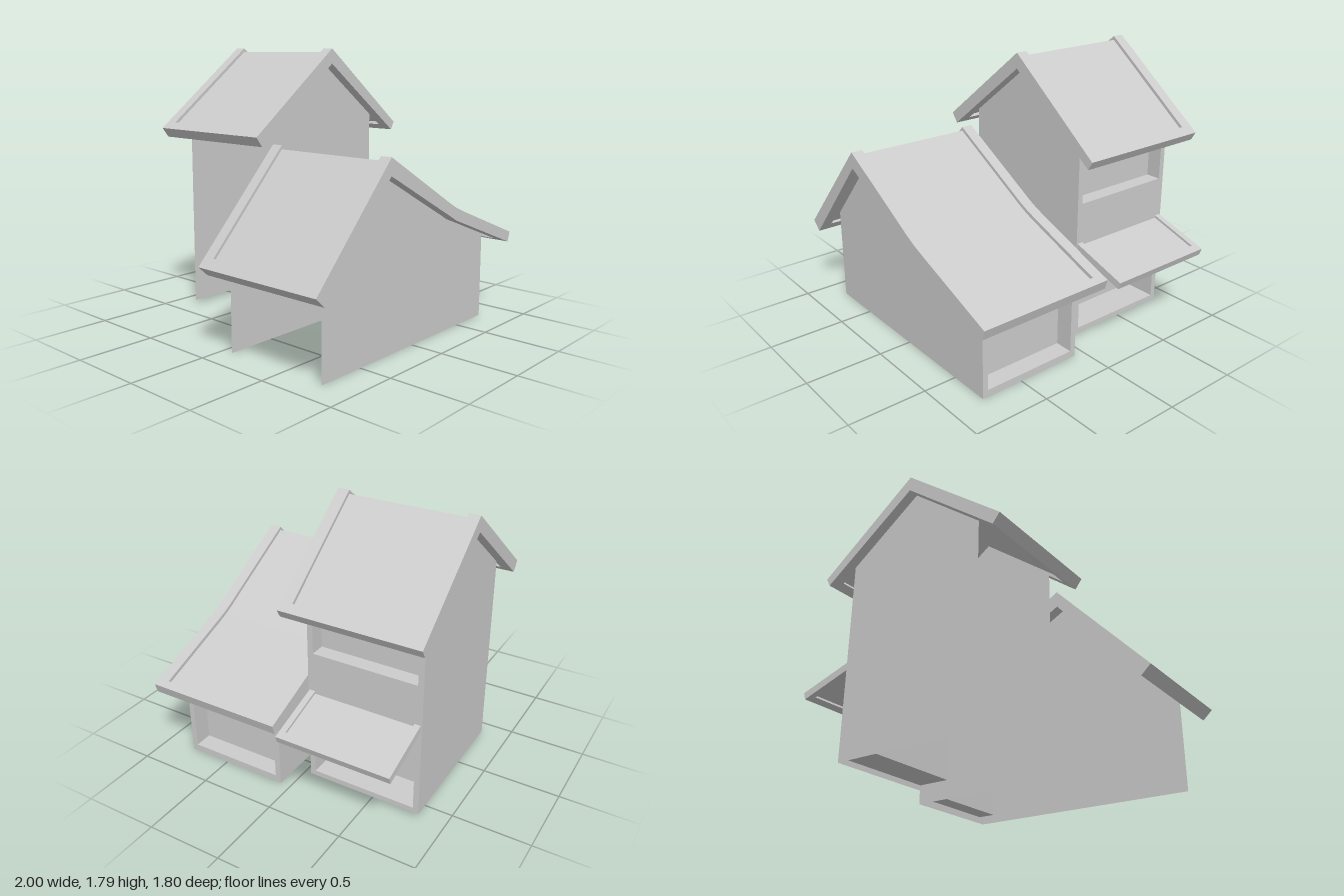
import * as THREE from 'three';

const mat = new THREE.MeshStandardMaterial({ color: 0xcccccc, side: THREE.DoubleSide });

function add(parent, name, geometry) {
  const mesh = new THREE.Mesh(geometry, mat);
  mesh.name = name;
  parent.add(mesh);
  return mesh;
}

const shapeOf = (pts) => new THREE.Shape(pts.map(([x, y]) => new THREE.Vector2(x, y)));
const mix = (a, b, t) => [a[0] + (b[0] - a[0]) * t, a[1] + (b[1] - a[1]) * t];

// Extrude a profile, given by matching top and bottom lines, between two depths
function strip(parent, name, top, bottom, z0, z1) {
  const geometry = new THREE.ExtrudeGeometry(shapeOf([...top, ...[...bottom].reverse()]), {
    depth: z1 - z0, bevelEnabled: false,
  });
  add(parent, name, geometry.translate(0, 0, z0));
}

// Roof slab: thick rim at the ends and eaves around a thinner panel
function roof(name, { top, bottom, z0, z1, rim, inset, eaves }) {
  const g = new THREE.Group();
  g.name = name;
  const n = top.length - 1;
  strip(g, 'backVerge', top, bottom, z0, z0 + rim);
  strip(g, 'frontVerge', top, bottom, z1 - rim, z1);
  for (const [end, next] of eaves === 2 ? [[0, 1], [n, n - 1]] : [[n, n - 1]]) {
    const t = 0.05 / Math.abs(top[end][0] - top[next][0]);
    strip(g, 'eave', [top[end], mix(top[end], top[next], t)],
      [bottom[end], mix(bottom[end], bottom[next], t)], z0 + rim, z1 - rim);
  }
  const shorten = (line, dy) => line.map((p, i) => {
    const q = i === 0 ? mix(p, line[1], 0.03) : i === n ? mix(p, line[n - 1], 0.03) : p;
    return [q[0], q[1] + dy];
  });
  strip(g, 'roofPanel', shorten(top, -inset), shorten(bottom, inset), z0 + rim, z1 - rim);
  return g;
}

// Two thin gable walls joined by an end wall with recessed windows
function house(name, { profile, z0, z1, x, y0, y1, windows }) {
  const g = new THREE.Group();
  g.name = name;
  add(g, 'frontWall', new THREE.ShapeGeometry(shapeOf(profile))).position.z = z1;
  add(g, 'backWall', new THREE.ShapeGeometry(shapeOf(profile))).position.z = z0;
  const wall = shapeOf([[-z1, y0], [-z0, y0], [-z0, y1], [-z1, y1]]);
  for (const { bottom, top, depth } of windows) {
    const a = z0 + 0.037, b = z1 - 0.037;
    wall.holes.push(new THREE.Path([[-b, bottom], [-b, top], [-a, top], [-a, bottom]]
      .map(([u, v]) => new THREE.Vector2(u, v))));
    // Box without its outward face
    const box = new THREE.BoxGeometry(depth, top - bottom, b - a);
    box.setIndex(Array.from(box.index.array).slice(6));
    box.clearGroups();
    add(g, 'windowRecess', box).position.set(x - depth / 2, (top + bottom) / 2, (a + b) / 2);
  }
  const end = add(g, 'endWall', new THREE.ShapeGeometry(wall));
  end.rotation.y = Math.PI / 2;
  end.position.x = x;
  return g;
}

export function createModel() {
  const model = new THREE.Group();
  model.name = 'twinHouses';

  // Low front house with a long sagging roof
  model.add(house('frontHouse', {
    profile: [[-0.83, 0], [0.775, 0], [0.775, 0.575], [0.36, 0.735], [0.22, 0.8],
      [-0.385, 1.125], [-0.83, 0.63]],
    z0: 0.07, z1: 0.785, x: 0.775, y0: 0, y1: 0.575,
    windows: [{ bottom: 0.047, top: 0.52, depth: 0.12 }],
  }));
  model.add(roof('frontRoof', {
    top: [[-1, 0.545], [-0.385, 1.205], [0.22, 0.86], [0.29, 0.824], [0.36, 0.795], [0.945, 0.57]],
    bottom: [[-0.935, 0.485], [-0.385, 1.1], [0.22, 0.782], [0.285, 0.747], [0.36, 0.719], [0.925, 0.505]],
    z0: -0.015, z1: 0.9, rim: 0.075, inset: 0.025, eaves: 2,
  }));

  // Tall back house
  model.add(house('backHouse', {
    profile: [[-0.36, 0.03], [0.625, 0.03], [0.625, 1.345], [0.13, 1.71], [-0.36, 1.33]],
    z0: -0.83, z1: -0.063, x: 0.625, y0: 0.03, y1: 1.345,
    windows: [
      { bottom: 0.065, top: 0.59, depth: 0.22 },
      { bottom: 0.93, top: 1.28, depth: 0.1 },
    ],
  }));
  model.add(roof('backRoof', {
    top: [[-0.555, 1.262], [0.133, 1.79], [0.808, 1.27]],
    bottom: [[-0.508, 1.2], [0.133, 1.692], [0.778, 1.217]],
    z0: -0.897, z1: 0.015, rim: 0.075, inset: 0.025, eaves: 2,
  }));

  // Small awning above the lower window
  model.add(roof('awning', {
    top: [[0.615, 0.674], [0.995, 0.55]],
    bottom: [[0.615, 0.625], [0.98, 0.505]],
    z0: -0.82, z1: -0.07, rim: 0.04, inset: 0.016, eaves: 1,
  }));

  return model;
}
